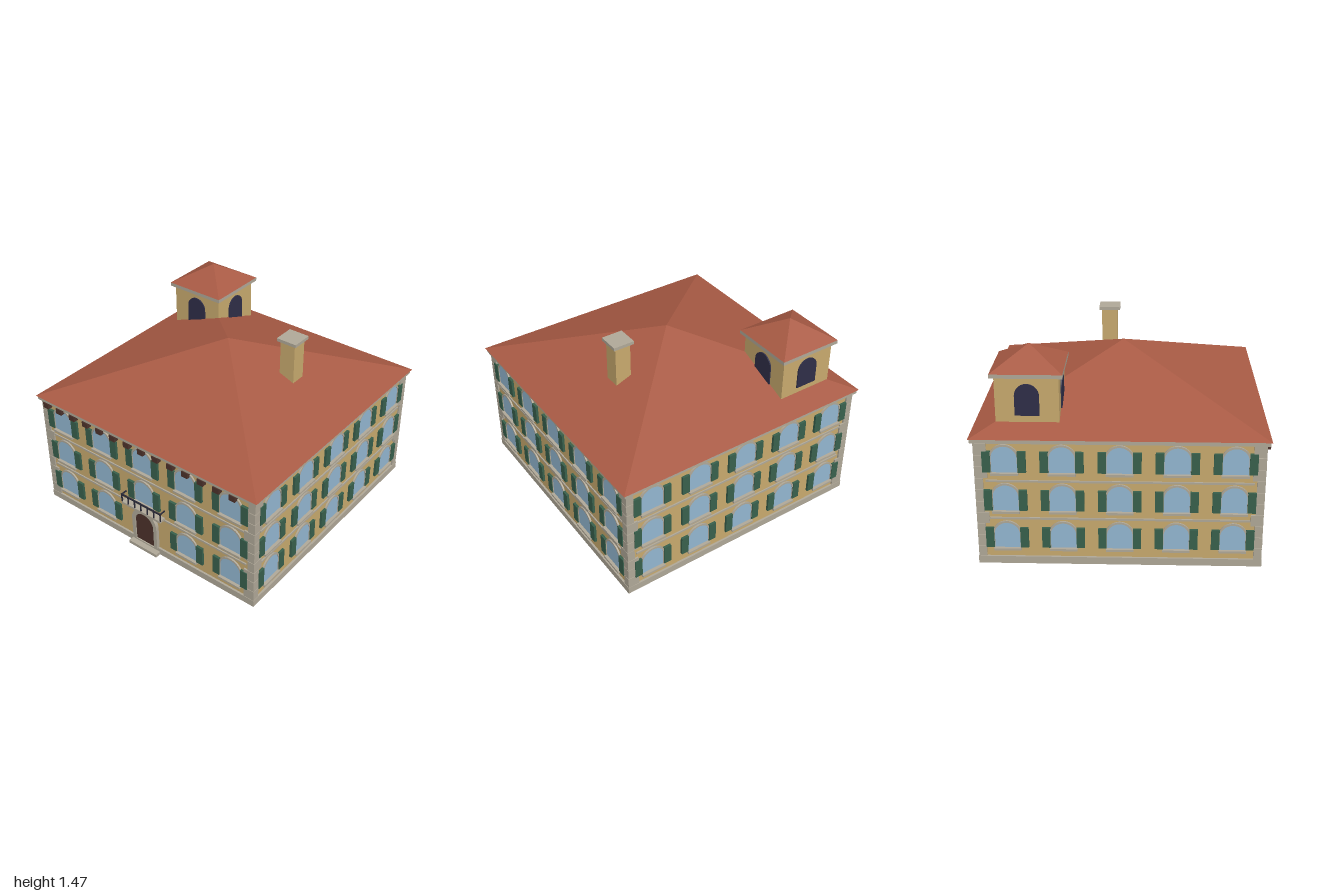
import * as THREE from 'three';

const paint = (name, color) => {
  const m = new THREE.MeshStandardMaterial({ color });
  m.name = name;
  return m;
};

export function createModel() {
  const wall = paint('ochre wall', 0xc8aa6e);
  const stone = paint('grey stone', 0xb0a898);
  const tile = paint('terracotta tile', 0xa85a44);
  const glass = paint('blue glass', 0x93b7d1);
  const green = paint('green shutter', 0x38604c);
  const wood = paint('dark wood', 0x4c322b);
  const dark = paint('dark opening', 0x2f2e48);
  const iron = paint('iron', 0x2a2a38);

  const model = new THREE.Group();
  model.name = 'villa';
  const house = new THREE.Group();
  house.name = 'house';
  house.position.z = -0.008;
  model.add(house);

  const W = 0.95; // half width of the walls

  const add = (parent, name, geo, mat, x = 0, y = 0, z = 0) => {
    const m = new THREE.Mesh(geo, mat);
    m.name = name;
    m.position.set(x, y, z);
    parent.add(m);
    return m;
  };
  // Box given by its centre x, z and its bottom and top heights
  const box = (parent, name, mat, w, d, y0, y1, x = 0, z = 0) =>
    add(parent, name, new THREE.BoxGeometry(w, y1 - y0, d), mat, x, (y0 + y1) / 2, z);

  // Four-sided roof with flat faces
  const pyramid = (parent, name, half, y0, y1, x = 0, z = 0) => {
    const g = new THREE.ConeGeometry(half * Math.SQRT2, y1 - y0, 4, 1).rotateY(Math.PI / 4).toNonIndexed();
    g.computeVertexNormals();
    return add(parent, name, g, tile, x, (y0 + y1) / 2, z);
  };

  // Round-headed outline, standing on y = 0
  const archPath = (Type, r, h) => {
    const p = new Type();
    p.moveTo(-r, 0);
    p.lineTo(r, 0);
    p.lineTo(r, h - r);
    p.absarc(0, h - r, r, 0, Math.PI, false);
    p.lineTo(-r, 0);
    return p;
  };
  const arch = (r, h, depth, hole) => {
    const s = archPath(THREE.Shape, r, h);
    if (hole) s.holes.push(archPath(THREE.Path, hole.r, hole.h));
    return new THREE.ExtrudeGeometry(s, { depth, bevelEnabled: false, curveSegments: 14 });
  };

  // Main body
  box(house, 'walls', wall, 2 * W, 2 * W, 0.04, 0.91);
  box(house, 'plinth', stone, 1.93, 1.93, 0, 0.053);
  box(house, 'cornice', stone, 1.96, 1.96, 0.9, 0.93);
  pyramid(house, 'roof', 0.99, 0.93, 1.31);

  // Corner stones, alternating long and short
  const n = 10, step = (0.895 - 0.053) / n, outer = 0.962;
  for (const sx of [-1, 1]) for (const sz of [-1, 1]) {
    for (let i = 0; i < n; i++) {
      const a = i % 2 ? 0.055 : 0.085, b = i % 2 ? 0.085 : 0.055;
      const y = 0.053 + i * step;
      box(house, 'cornerStone', stone, a, b, y, y + step - 0.004,
        sx * (outer - a / 2), sz * (outer - b / 2));
    }
  }

  // Window with frame, sill and shutters
  const paneGeo = arch(0.086, 0.19, 0.006);
  const frameGeo = arch(0.098, 0.204, 0.012, { r: 0.086, h: 0.19 });
  frameGeo.translate(0, -0.002, 0);
  const makeWindow = (parent, x, y) => {
    const g = new THREE.Group();
    g.name = 'window';
    g.position.set(x, y, W);
    add(g, 'pane', paneGeo, glass);
    add(g, 'frame', frameGeo, stone);
    box(g, 'sill', stone, 0.185, 0.028, -0.016, 0, 0, 0.014);
    for (const s of [-1, 1]) box(g, 'shutter', green, 0.056, 0.018, 0.004, 0.153, s * 0.117, 0.009);
    parent.add(g);
  };

  // Four facades
  for (let k = 0; k < 4; k++) {
    const face = new THREE.Group();
    face.name = ['frontFacade', 'leftFacade', 'backFacade', 'rightFacade'][k];
    face.rotation.y = k * Math.PI / 2;
    house.add(face);
    for (const y of [0.335, 0.612]) box(face, 'stringCourse', stone, 1.78, 0.01, y, y + 0.014, 0, W + 0.004);
    [0.121, 0.402, 0.684].forEach((y, row) => {
      for (let c = -2; c <= 2; c++) {
        if (k === 0 && row === 0 && c === 0) continue;
        makeWindow(face, c * 0.381, y);
      }
    });
  }

  // Entrance
  const entrance = new THREE.Group();
  entrance.name = 'entrance';
  house.add(entrance);
  add(entrance, 'door', arch(0.085, 0.26, 0.009), wood, 0, 0.05, W + 0.008);
  add(entrance, 'doorSurround', arch(0.115, 0.3, 0.026, { r: 0.085, h: 0.26 }), stone, 0, 0.05, W);
  box(entrance, 'doorStep', stone, 0.26, 0.058, 0, 0.025, 0, 0.979);

  // Balcony
  const balcony = new THREE.Group();
  balcony.name = 'balcony';
  house.add(balcony);
  box(balcony, 'balconySlab', stone, 0.36, 0.055, 0.345, 0.363, 0, 0.975);
  box(balcony, 'handrail', iron, 0.37, 0.009, 0.42, 0.431, 0, 0.998);
  for (let i = 0; i < 7; i++) box(balcony, 'baluster', iron, 0.008, 0.008, 0.363, 0.425, -0.18 + i * 0.06, 0.998);
  for (const s of [-1, 1]) box(balcony, 'sideRail', iron, 0.008, 0.05, 0.421, 0.43, s * 0.18, 0.974);

  // Brackets under the front eave
  for (let i = 0; i < 14; i++) box(house, 'eaveBracket', wood, 0.05, 0.04, 0.857, 0.9, -0.897 + i * 0.13, 0.968);

  // Roof tower
  const tower = new THREE.Group();
  tower.name = 'tower';
  tower.position.set(-0.615, 0, -0.612);
  house.add(tower);
  box(tower, 'towerWalls', wall, 0.424, 0.424, 0.92, 1.305);
  box(tower, 'towerCornice', stone, 0.48, 0.48, 1.305, 1.332);
  pyramid(tower, 'towerRoof', 0.24, 1.332, 1.472);
  const openingGeo = arch(0.082, 0.22, 0.009);
  for (let k = 0; k < 4; k++) {
    const side = new THREE.Group();
    side.name = 'towerSide';
    side.rotation.y = k * Math.PI / 2;
    add(side, 'towerOpening', openingGeo, dark, 0, 1.04, 0.212);
    tower.add(side);
  }

  // Chimney
  box(house, 'chimney', wall, 0.118, 0.118, 1.0, 1.41, 0.476, -0.118);
  box(house, 'chimneyCap', stone, 0.158, 0.158, 1.41, 1.433, 0.476, -0.118);

  return model;
}
